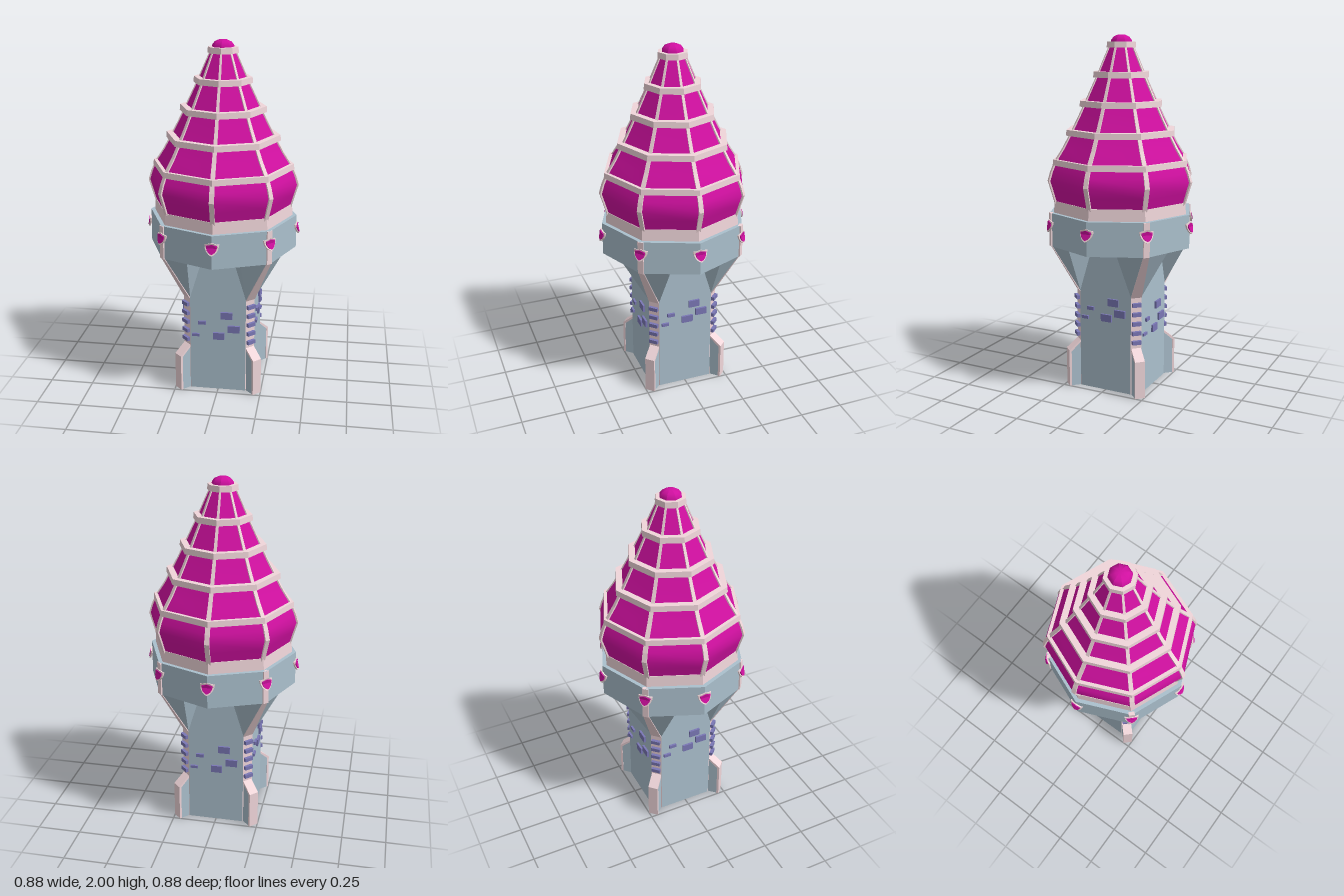
import * as THREE from 'three';

const mat = (color, flatShading = true) =>
  new THREE.MeshStandardMaterial({ color, flatShading, side: THREE.DoubleSide });
const STONE = mat(0xabc0cd);
const TRIM = mat(0xf0d6da);
const BRICK = mat(0x7a77b5);
const ROOF = mat(0xd010a0, false);
const SHIELD = mat(0xd010a0);

function add(parent, name, geometry, material, x = 0, y = 0, z = 0) {
  const mesh = new THREE.Mesh(geometry, material);
  mesh.name = name;
  mesh.position.set(x, y, z);
  parent.add(mesh);
  return mesh;
}

function turned(parent, name, angle) {
  const g = new THREE.Group();
  g.name = name;
  g.rotation.y = angle;
  parent.add(g);
  return g;
}

// Skin between closed cross-sections that have equal point counts
function loft(sections) {
  const n = sections[0].length, index = [];
  for (let s = 0; s < sections.length - 1; s++) {
    for (let i = 0; i < n; i++) {
      const a = s * n + i, b = s * n + (i + 1) % n;
      index.push(a, b, a + n, b, b + n, a + n);
    }
  }
  const geo = new THREE.BufferGeometry();
  geo.setAttribute('position', new THREE.Float32BufferAttribute(sections.flat(2), 3));
  geo.setIndex(index);
  geo.computeVertexNormals();
  return geo;
}

// Eight-sided drum with a corner facing the front
const drum = (rTop, rBottom, h, open = false) => new THREE.CylinderGeometry(rTop, rBottom, h, 8, 1, open);

// Side profile (distance from the axis, height) extruded across its width
function sideExtrude(points, width) {
  const geo = new THREE.ExtrudeGeometry(
    new THREE.Shape(points.map(([r, y]) => new THREE.Vector2(r, y))), { depth: width, bevelEnabled: false });
  geo.translate(0, 0, -width / 2);
  geo.rotateY(-Math.PI / 2);
  return geo;
}

// Crest outline, curved around the collar corner
function crest(scale, depth) {
  const w = 0.04 * scale, h = 0.036 * scale;
  const s = new THREE.Shape();
  s.moveTo(-w, h * 0.75);
  s.quadraticCurveTo(-w * 0.5, h * 0.8, 0, h);
  s.quadraticCurveTo(w * 0.5, h * 0.8, w, h * 0.75);
  s.quadraticCurveTo(w * 0.95, -h * 0.6, 0, -h);
  s.quadraticCurveTo(-w * 0.95, -h * 0.6, -w, h * 0.75);
  const geo = new THREE.ExtrudeGeometry(s, { depth, bevelEnabled: false, curveSegments: 5 });
  const p = geo.attributes.position;
  for (let i = 0; i < p.count; i++) p.setZ(i, p.getZ(i) - 7 * p.getX(i) ** 2);
  geo.computeVertexNormals();
  return geo;
}

function buildShaft(root) {
  const A = 0.205, C = 0.16;
  for (let k = 0; k < 4; k++) {
    // Wall panel and its scattered bricks
    const side = turned(root, 'wallSide', k * Math.PI / 2);
    add(side, 'wall', new THREE.PlaneGeometry(2 * C, 0.84), STONE, 0, 0.42, A);
    const bricks = k % 2 === 0
      ? [[0.05, 0.475, 0.068, 0.042], [0.092, 0.393, 0.068, 0.042], [0.005, 0.345, 0.064, 0.042],
        [-0.092, 0.424, 0.044, 0.02], [-0.128, 0.346, 0.042, 0.016]]
      : [[0.052, 0.53, 0.066, 0.042], [0.095, 0.47, 0.066, 0.042], [0.01, 0.435, 0.066, 0.042],
        [-0.09, 0.48, 0.042, 0.02], [-0.125, 0.423, 0.042, 0.018]];
    for (const [x, y, w, h] of bricks) {
      add(side, 'brick', new THREE.BoxGeometry(w, h, 0.022), BRICK, x, y, A + 0.001);
    }

    // Chamfered corner with rungs and a buttress
    const corner = turned(root, 'corner', Math.PI / 4 + k * Math.PI / 2);
    const r = (A + C) / Math.SQRT2, w = (A - C) * Math.SQRT2;
    add(corner, 'cornerStrip', new THREE.PlaneGeometry(w, 0.84), TRIM, 0, 0.42, r);
    for (let i = 0; i < 5; i++) {
      add(corner, 'rung', new THREE.BoxGeometry(0.052, 0.022, 0.036), BRICK, 0, 0.31 + i * 0.055, r);
    }
    add(corner, 'buttress', sideExtrude([[r, 0], [0.318, 0], [0.318, 0.215], [r, 0.265]], 0.054), STONE);
    add(corner, 'buttressCap', sideExtrude(
      [[0.313, 0], [0.326, 0], [0.326, 0.217], [r, 0.274], [r, 0.26], [0.313, 0.21]], 0.058), TRIM);

    // Flared bracket carrying the collar
    const bracket = turned(root, 'bracket', k * Math.PI / 2);
    const low = [[C, A], [C, A], [C, A], [A, C], [A, C], [A, C]];
    const high = [[0.08, A], [0.147, 0.352], [0.281, 0.302], [0.302, 0.281], [0.352, 0.147], [A, 0.08]];
    add(bracket, 'bracketBody', loft([low.map(([x, z]) => [x, 0.575, z]), high.map(([x, z]) => [x, 0.84, z])]), STONE);
    const rib = (half, y, d) => [[-half, y, d - 0.02], [half, y, d - 0.02], [half, y, d + 0.003], [-half, y, d + 0.003]];
    add(corner, 'bracketRib', loft([rib(w / 2, 0.57, r), rib(0.017, 0.84, 0.412)]), TRIM);
  }
}

function buildCollar(root) {
  add(root, 'collar', drum(0.42, 0.42, 0.19), STONE, 0, 0.935);
  for (let k = 0; k < 8; k++) {
    const corner = turned(root, 'collarCorner', k * Math.PI / 4);
    if (k % 2) add(corner, 'collarStrip', new THREE.BoxGeometry(0.034, 0.19, 0.02), TRIM, 0, 0.935, 0.411);
    const shield = new THREE.Group();
    shield.name = 'shield';
    shield.position.set(0, 0.957, 0.424);
    shield.rotation.x = -0.15;
    corner.add(shield);
    add(shield, 'shieldRim', crest(1, 0.008), TRIM);
    add(shield, 'shieldFace', crest(0.76, 0.011), SHIELD);
  }
}

function buildRoof(root) {
  const profile = [[0.385, 1.08], [0.405, 1.15], [0.423, 1.21], [0.408, 1.26], [0.382, 1.32],
    [0.333, 1.395], [0.292, 1.47], [0.25, 1.55], [0.211, 1.63], [0.173, 1.71], [0.137, 1.785],
    [0.102, 1.865], [0.066, 1.945]];
  const cap = [[0.062, 1.945], [0.06, 1.972], [0.046, 1.99], [0.024, 2], [0, 2]];
  const toVec = ([r, y]) => new THREE.Vector2(r, y);
  add(root, 'roofBase', drum(0.392, 0.397, 0.065), TRIM, 0, 1.0625);

  for (let k = 0; k < 8; k++) {
    const sector = turned(root, 'roofSector', k * Math.PI / 4);
    // Panels are smooth up the slope and sharp at the ridges
    for (const [name, pts] of [['roofPanel', profile], ['roofCap', cap]]) {
      const geo = new THREE.LatheGeometry(pts.map(toVec), 1, 0, Math.PI / 4);
      geo.computeVertexNormals();
      add(sector, name, geo, ROOF);
    }
    const ridge = profile.map(([r, y]) => {
      const w = 0.004 + 0.022 * r;
      return [[-w, y, r - 0.02], [w, y, r - 0.02], [w, y, r + 0.004], [-w, y, r + 0.004]];
    });
    add(sector, 'roofRidge', loft(ridge), TRIM);
  }

  // Horizontal bands
  for (const [r, y] of [[0.4, 1.312], [0.322, 1.473], [0.243, 1.63], [0.164, 1.787], [0.086, 1.947]]) {
    add(root, 'roofBand', drum(r - 0.003, r, 0.032), TRIM, 0, y);
  }
}

export function createModel() {
  const root = new THREE.Group();
  root.name = 'tower';
  buildShaft(root);
  buildCollar(root);
  buildRoof(root);
  return root;
}
